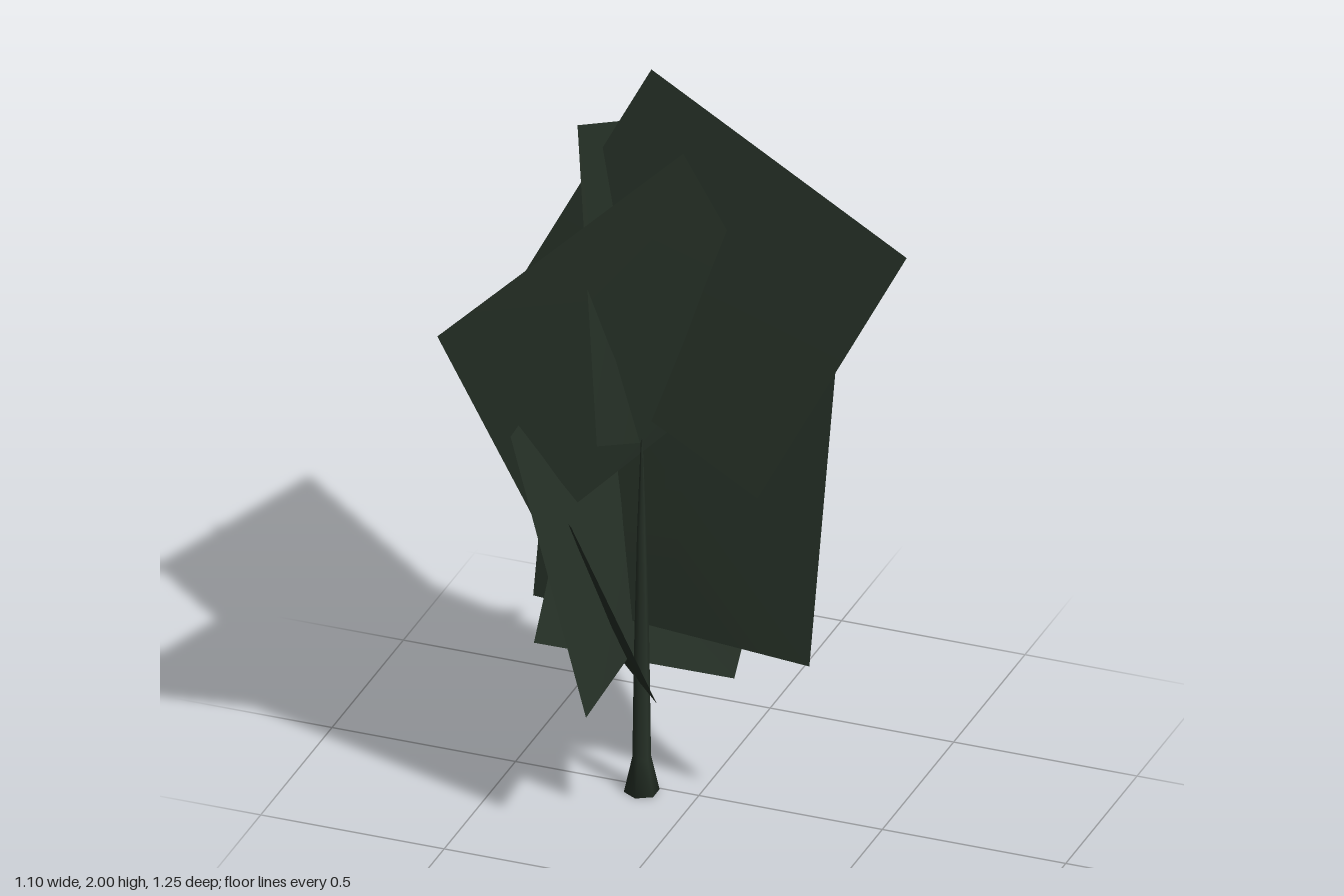
import * as THREE from 'three';

const leafGreen = new THREE.MeshStandardMaterial({ color: 0x263127, side: THREE.DoubleSide });
leafGreen.name = 'darkGreen';

// Foliage card: four corners in order, with the centre pushed out along the card's normal
function card(name, corners, bulge) {
  const c = corners.map((p) => new THREE.Vector3(...p));
  const normal = c[1].clone().sub(c[0]).cross(c[3].clone().sub(c[0])).normalize();
  const centre = c[0].clone().add(c[1]).add(c[2]).add(c[3]).multiplyScalar(0.25).addScaledVector(normal, bulge);
  const points = [centre];
  const index = [];
  for (let i = 0; i < 4; i++) {
    points.push(c[i], c[i].clone().lerp(c[(i + 1) % 4], 0.5));
  }
  for (let i = 0; i < 8; i++) index.push(0, 1 + i, 1 + ((i + 1) % 8));
  const geometry = new THREE.BufferGeometry().setFromPoints(points);
  geometry.setIndex(index);
  geometry.computeVertexNormals();
  const mesh = new THREE.Mesh(geometry, leafGreen);
  mesh.name = name;
  return mesh;
}

export function createModel() {
  const tree = new THREE.Group();
  tree.name = 'tree';

  // Tapering trunk with a flared foot
  const profile = [[0, 0], [0.046, 0], [0.024, 0.1], [0.02, 0.4], [0.012, 0.75], [0, 1.08]]
    .map(([r, y]) => new THREE.Vector2(r, y));
  const trunk = new THREE.Mesh(new THREE.LatheGeometry(profile, 6), leafGreen);
  trunk.name = 'trunk';
  trunk.position.set(-0.145, 0, 0.028);
  tree.add(trunk);

  // Crossed foliage cards, corners counter-clockwise
  const foliage = new THREE.Group();
  foliage.name = 'foliage';
  foliage.add(
    card('upperFrontFoliage',
      [[-0.55, 1.28, -0.025], [0.177, 0.915, 0.045], [0.547, 1.635, -0.05], [-0.178, 2.0, -0.125]], 0.005),
    card('lowerFrontFoliage',
      [[-0.475, 0.455, -0.06], [0.34, 0.49, 0.1], [0.34, 1.3, -0.095], [-0.475, 1.26, -0.26]], 0.015),
    card('upperLeaningFoliage',
      [[-0.34, 0.815, 0.235], [0.13, 1.2, -0.293], [0, 1.91, 0.11], [-0.47, 1.55, 0.625]], 0.01),
    card('upperBackFoliage',
      [[-0.107, 1.21, 0.44], [-0.18, 0.85, -0.28], [-0.37, 1.57, -0.625], [-0.292, 1.93, 0.1]], 0.02),
    card('lowerSideFoliage',
      [[-0.16, 0.385, 0.38], [-0.18, 0.42, -0.455], [-0.365, 1.22, -0.41], [-0.35, 1.18, 0.42]], 0.015),
    card('smallFrontFoliage',
      [[-0.267, 0.26, -0.15], [-0.01, 0.4, 0.27], [-0.245, 0.86, 0.265], [-0.505, 0.715, -0.16]], 0.01),
    card('smallBackFoliage',
      [[-0.405, 0.42, 0.115], [0.075, 0.325, -0.055], [0.125, 0.8, -0.275], [-0.37, 0.9, -0.105]], -0.01),
  );
  tree.add(foliage);
  return tree;
}
